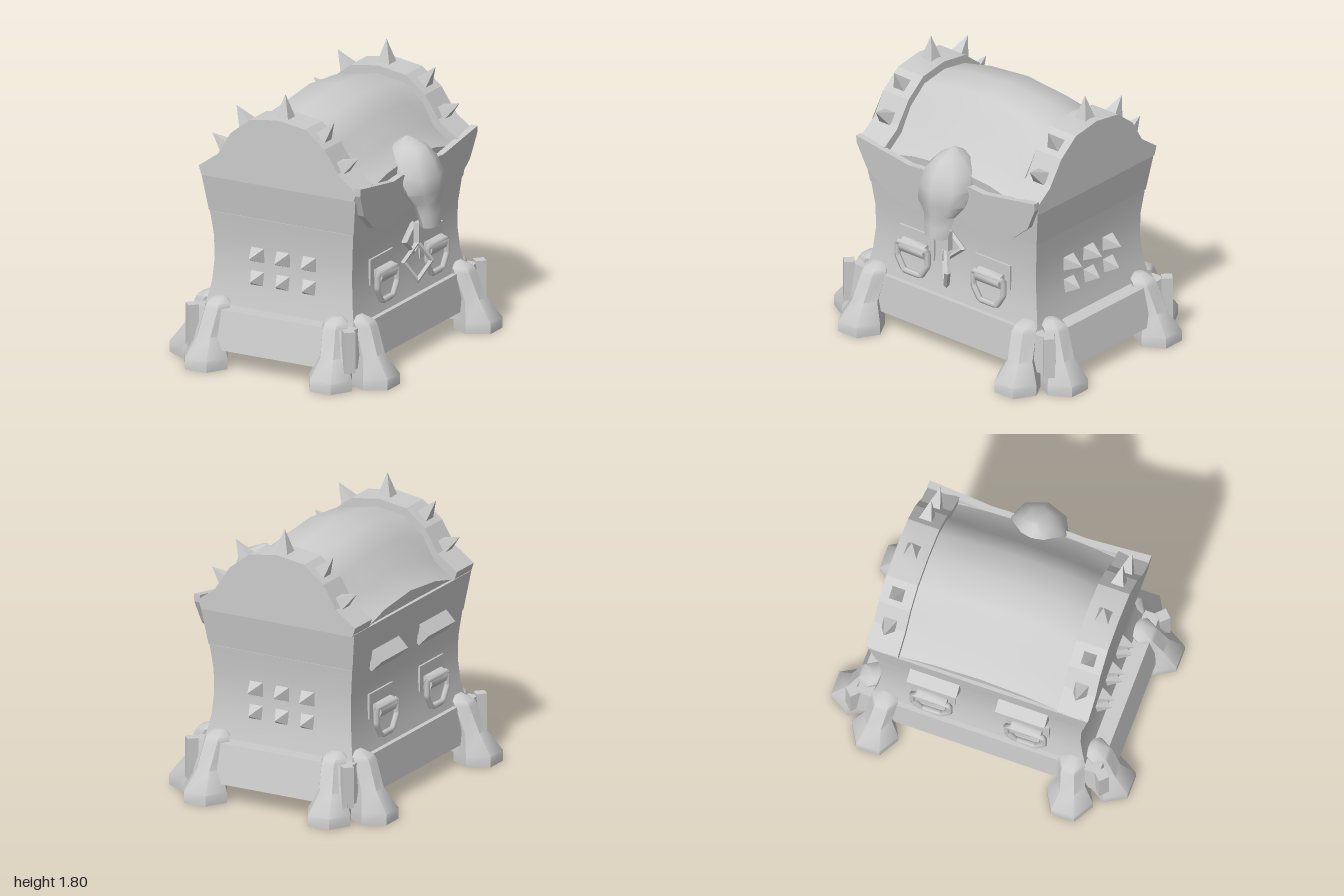
import * as THREE from 'three';
import { toCreasedNormals } from 'three/addons/utils/BufferGeometryUtils.js';

const mat = new THREE.MeshStandardMaterial({ color: 0xcccccc });
const flat = new THREE.MeshStandardMaterial({ color: 0xcccccc, flatShading: true });
const Y = new THREE.Vector3(0, 1, 0);

// Skin a list of rings (each counter-clockwise about the loft direction) and cap both ends.
function loft(rings, crease = 0.7) {
  const n = rings[0].length, last = (rings.length - 1) * n, idx = [];
  for (let r = 0; r < rings.length - 1; r++) {
    for (let i = 0; i < n; i++) {
      const a = r * n + i, b = r * n + (i + 1) % n;
      idx.push(a, b, b + n, a, b + n, a + n);
    }
  }
  for (let i = 1; i < n - 1; i++) idx.push(0, i + 1, i, last, last + i, last + i + 1);
  const g = new THREE.BufferGeometry();
  g.setAttribute('position', new THREE.Float32BufferAttribute(rings.flat(2), 3));
  g.setIndex(idx);
  return toCreasedNormals(g, crease);
}

const rect = (y, hx, hz) => [[hx, y, hz], [hx, y, -hz], [-hx, y, -hz], [-hx, y, hz]];

function oval(y, cx, cz, rx, rz, n, turn = 0) {
  return Array.from({ length: n }, (_, i) => {
    const a = turn + i / n * Math.PI * 2;
    return [cx + rx * Math.cos(a), y, cz - rz * Math.sin(a)];
  });
}

// Half arch of the lid, from the side up to the ridge.
const ARCH = [[0.57, 1.27], [0.43, 1.37], [0.34, 1.52], [0.2, 1.63], [0, 1.66]];
function archRing(z, sx, lift, floor) {
  const right = ARCH.map(([x, y]) => [x * sx, y + lift, z]);
  const left = right.slice(0, -1).reverse().map(([x, y]) => [-x, y, z]);
  return [[0.55 * sx, floor, z], ...right, ...left, [-0.55 * sx, floor, z]];
}

export function createModel() {
  const model = new THREE.Group();
  const add = (name, geo, material = mat, parent = model) => {
    const m = new THREE.Mesh(geo, material);
    m.name = name;
    parent.add(m);
    return m;
  };
  const group = (name) => {
    const g = new THREE.Group();
    g.name = name;
    model.add(g);
    return g;
  };

  // Base, waisted body and lid wall
  add('base', loft([rect(0.12, 0.585, 0.865), rect(0.37, 0.565, 0.81)]));
  add('body', loft([rect(0.36, 0.535, 0.71), rect(0.5, 0.508, 0.68), rect(0.65, 0.497, 0.665),
    rect(0.8, 0.5, 0.668), rect(0.965, 0.518, 0.688)]));
  add('lidWall', loft([rect(0.968, 0.523, 0.692), rect(1.22, 0.558, 0.73)]));

  // Bulging lid between two raised end bands
  const bulge = [[-0.56, -0.06], [-0.31, 0.0], [0, 0.03], [0.31, 0.0], [0.56, -0.06]];
  add('lid', loft(bulge.map(([z, lift]) => archRing(z, 0.95, lift, 1.1))));
  const spikes = group('spikes');
  const spike = (pos, dir, r, h) => {
    const g = new THREE.ConeGeometry(r, h, 4).rotateY(Math.PI / 4).translate(0, h / 2, 0);
    const m = add('spike', g, flat, spikes);
    m.position.set(...pos);
    m.quaternion.setFromUnitVectors(Y, new THREE.Vector3(...dir).normalize());
  };
  for (const s of [-1, 1]) {
    const zs = [0.53, 0.74].map((z) => z * s).sort((a, b) => a - b);
    add('endBand', loft(zs.map((z) => archRing(z, 1, 0, 1.21)), 0.3));
    spike([0, 1.65, 0.64 * s], [0, 1, 0], 0.064, 0.155);
    for (const x of [-1, 1]) {
      spike([0.27 * x, 1.565, 0.64 * s], [0.6 * x, 0.8, 0], 0.064, 0.14);
      spike([0.415 * x, 1.39, 0.64 * s], [0.83 * x, 0.55, 0], 0.064, 0.135);
    }
    // Stud grid on each end
    for (const x of [-0.185, 0, 0.19]) {
      spike([x, 0.72, 0.66 * s], [0, 0, s], 0.07, 0.122);
      spike([x, 0.565, 0.665 * s], [0, 0, s], 0.07, 0.1);
    }
  }

  // Scalloped front plate, leaning outward toward the top
  const half = [[0.74, 1.3], [0.74, 1.25], [0.67, 1.1], [0.53, 0.98], [0.31, 0.91], [0.12, 0.98]];
  const outline = [[0, 1.2], [0.2, 1.24], [0.31, 1.23], ...half];
  const full = [...outline, ...outline.slice(1).reverse().map(([z, y]) => [-z, y])];
  const plate = new THREE.ExtrudeGeometry(new THREE.Shape(full.map((p) => new THREE.Vector2(...p))),
    { depth: 0.045, bevelEnabled: false }).rotateY(Math.PI / 2);
  const pp = plate.attributes.position;
  for (let i = 0; i < pp.count; i++) pp.setX(i, pp.getX(i) + 0.525 + (pp.getY(i) - 0.9) * 0.08);
  add('frontPlate', plate, flat);

  // Skull: [y, back x, front x, half width]
  const skull = [[0.87, 0.63, 0.74, 0.09], [0.95, 0.61, 0.735, 0.11], [1.02, 0.57, 0.73, 0.12],
    [1.1, 0.5, 0.75, 0.18], [1.2, 0.41, 0.75, 0.195], [1.3, 0.38, 0.71, 0.165],
    [1.38, 0.42, 0.65, 0.09], [1.43, 0.5, 0.53, 0.012]];
  add('skull', loft(skull.map(([y, a, b, w]) => oval(y, (a + b) / 2, 0, (b - a) / 2, w, 8)), 1.0));

  // Hanging chain
  const chain = group('chain');
  add('hanger', new THREE.BoxGeometry(0.04, 0.13, 0.1), flat, chain).position.set(0.61, 0.82, 0);
  const link = (x, y, turn, w, h) => {
    const m = add('link', new THREE.TorusGeometry(1, 0.2, 4, 4).scale(w / 1.2, h / 1.2, 0.1), flat, chain);
    m.position.set(x, y, 0);
    m.rotation.y = turn;
  };
  link(0.555, 0.765, Math.PI / 2, 0.13, 0.11);
  link(0.59, 0.615, Math.PI / 4, 0.11, 0.15);

  // Ring handles, two on each long side
  const ring = [[-0.125, 0.64], [-0.125, 0.54], [-0.07, 0.455], [0.07, 0.455], [0.125, 0.54], [0.125, 0.64]];
  for (const s of [-1, 1]) {
    for (const z of [-0.315, 0.315]) {
      const handle = group('handle');
      add('handlePlate', new THREE.BoxGeometry(0.03, 0.17, 0.29), flat, handle).position.set(0.497 * s, 0.655, z);
      const pin = add('handlePin', new THREE.CylinderGeometry(0.05, 0.05, 0.2, 8).rotateX(Math.PI / 2), mat, handle);
      pin.geometry = toCreasedNormals(pin.geometry, 0.9);
      pin.position.set(0.525 * s, 0.62, z);
      const path = new THREE.CurvePath();
      const pts = ring.map(([dz, y]) => new THREE.Vector3(0.55 * s, y, z + dz));
      pts.forEach((p, i) => path.add(new THREE.LineCurve3(p, pts[(i + 1) % pts.length])));
      add('handleRing', new THREE.TubeGeometry(path, 36, 0.02, 6, true), mat, handle);
    }
  }

  // Wedge hinges on the back of the lid
  for (const z of [-0.295, 0.295]) {
    const hinge = new THREE.CylinderGeometry(0.075, 0.075, 0.33, 4).rotateX(Math.PI / 2);
    add('hinge', hinge, flat).position.set(-0.525, 0.97, z);
  }

  // Bone feet, a pair at every corner: [y, distance out, sideways, radius]
  const bone = [[0, 0.655, 0, 0.155], [0.07, 0.655, 0, 0.155], [0.2, 0.615, -0.005, 0.092],
    [0.37, 0.555, -0.025, 0.09], [0.4, 0.54, -0.025, 0.085], [0.43, 0.52, -0.025, 0.035]];
  for (const sx of [-1, 1]) {
    for (const sz of [-1, 1]) {
      const foot = group('cornerFoot');
      add('sideBone', loft(bone.map(([y, out, side, r]) =>
        oval(y, sx * out, sz * (0.65 + side), r, r, 6, Math.PI / 6)), 0.9), mat, foot);
      add('endBone', loft(bone.map(([y, out, side, r]) =>
        oval(y, sx * (0.45 + side), sz * (out + 0.2), r, r, 6)), 0.9), mat, foot);
      const post = add('cornerPost', new THREE.BoxGeometry(0.07, 0.27, 0.07), flat, foot);
      post.position.set(0.565 * sx, 0.25, 0.83 * sz);
      post.rotation.y = Math.PI / 4;
    }
  }
  return model;
}
